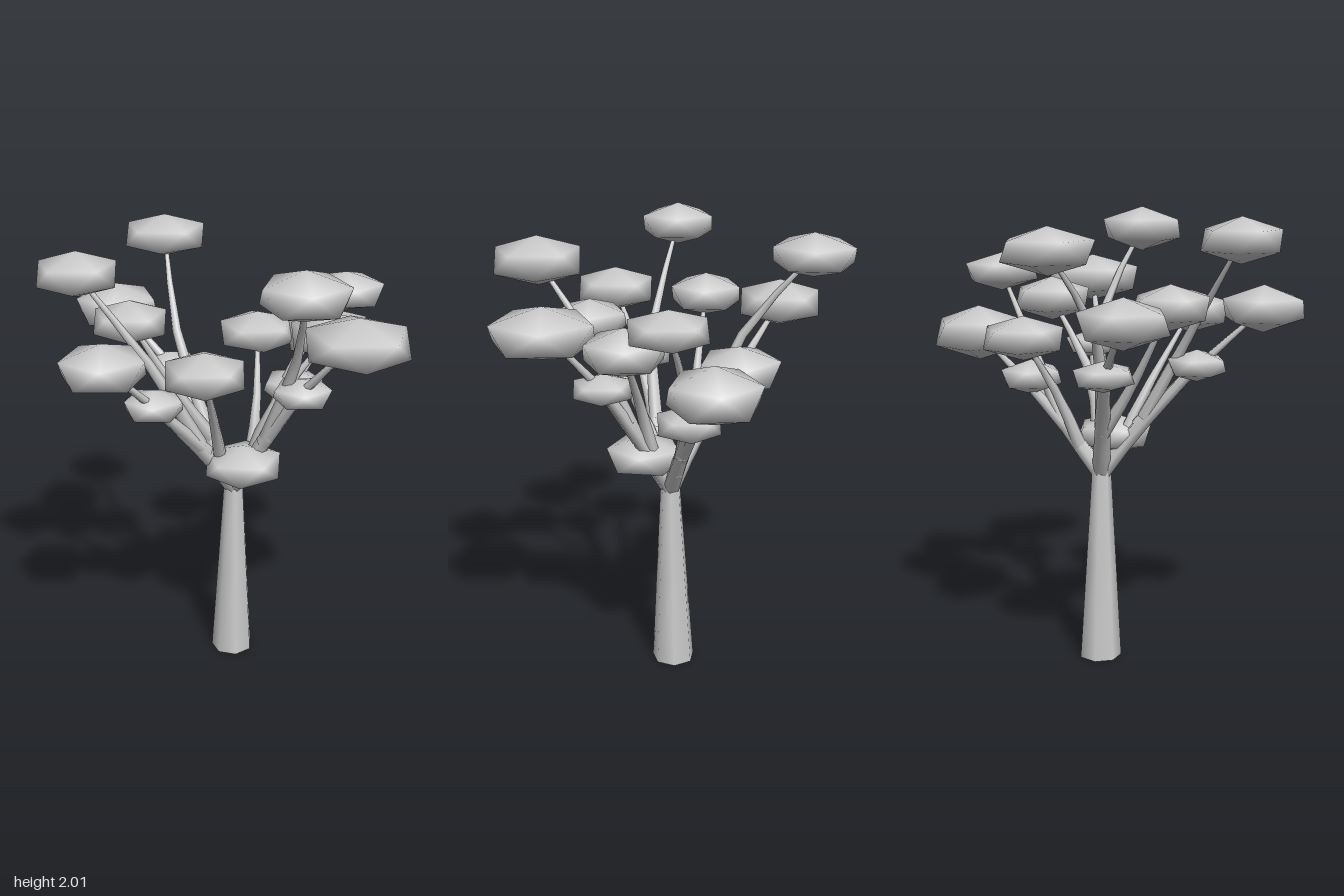
import * as THREE from 'three';
import { mergeVertices } from 'three/addons/utils/BufferGeometryUtils.js';

const V = (p) => new THREE.Vector3(p[0], p[1], p[2]);

// Six-sided tube through the points, tapering from r0 to r1
function taperedLimb(points, r0, r1) {
  const curve = new THREE.CatmullRomCurve3(points.map(V));
  const steps = 4, sides = 6;
  const geo = new THREE.TubeGeometry(curve, steps, 1, sides);
  const pos = geo.attributes.position, v = new THREE.Vector3();
  for (let i = 0; i <= steps; i++) {
    const c = curve.getPointAt(i / steps);
    const r = r0 + (r1 - r0) * (i / steps);
    for (let j = 0; j <= sides; j++) {
      const k = i * (sides + 1) + j;
      v.fromBufferAttribute(pos, k).sub(c).multiplyScalar(r).add(c);
      pos.setXYZ(k, v.x, v.y, v.z);
    }
  }
  return geo;
}

// Icosahedron standing on a vertex, with shared smooth normals and unit rings
function clumpGeometry() {
  let geo = new THREE.IcosahedronGeometry(1, 0);
  geo.rotateX(-Math.atan((1 + Math.sqrt(5)) / 2));
  geo.deleteAttribute('normal');
  geo.deleteAttribute('uv');
  geo = mergeVertices(geo, 1e-3);
  geo.scale(1 / 0.8944, 1, 1 / 0.8944);
  geo.computeVertexNormals();
  return geo;
}

export function createModel() {
  const tree = new THREE.Group();
  tree.name = 'tree';
  const grey = new THREE.MeshStandardMaterial({ color: 0xcccccc });
  grey.name = 'plain grey';
  const add = (geo, name) => {
    const mesh = new THREE.Mesh(geo, grey);
    mesh.name = name;
    tree.add(mesh);
    return mesh;
  };

  // Trunk, leaning slightly from its base to the fork
  const fork = [-0.02, 0.86, -0.07];
  const trunk = new THREE.CylinderGeometry(0.045, 0.097, 0.87, 7, 2);
  trunk.translate(0, 0.435, 0);
  const tp = trunk.attributes.position;
  for (let i = 0; i < tp.count; i++) {
    const t = tp.getY(i) / 0.87;
    tp.setX(i, tp.getX(i) - 0.035 + 0.015 * t);
    tp.setZ(i, tp.getZ(i) - 0.077 + 0.007 * t);
  }
  add(trunk, 'trunk');

  // Leaf clumps: centre, radius, half height
  const clumps = {
    low: [0.08, 1.02, -0.015, 0.168, 0.09],
    leftInner: [-0.385, 1.36, -0.05, 0.127, 0.066],
    leftHigh: [-0.605, 1.885, -0.26, 0.183, 0.095],
    leftOuter: [-0.635, 1.61, 0.03, 0.183, 0.104],
    leftFront: [-0.36, 1.64, 0.22, 0.16, 0.095],
    frontInner: [-0.105, 1.36, 0.345, 0.127, 0.07],
    frontHigh: [-0.37, 1.91, 0.5, 0.166, 0.095],
    frontOuter: [-0.105, 1.605, 0.625, 0.178, 0.102],
    frontRight: [0.17, 1.56, 0.33, 0.166, 0.095],
    rightInner: [0.325, 1.39, -0.11, 0.127, 0.066],
    rightOuter: [0.59, 1.67, -0.12, 0.217, 0.108],
    rightHigh: [0.5, 1.905, 0.115, 0.183, 0.102],
    rightBack: [0.32, 1.6, -0.3, 0.17, 0.1],
    backInner: [0.065, 1.28, -0.38, 0.135, 0.078],
    backOuter: [0.085, 1.475, -0.61, 0.195, 0.12],
    backRight: [0.24, 1.73, -0.52, 0.162, 0.085],
    backLeft: [-0.16, 1.485, -0.395, 0.172, 0.095],
  };
  const leaf = clumpGeometry();
  Object.entries(clumps).forEach(([name, [x, y, z, r, h]], i) => {
    const mesh = add(leaf, name + 'LeafClump');
    mesh.position.set(x, y, z);
    mesh.scale.set(r, h, r);
    mesh.rotation.y = i * 1.9;
  });

  // Main limbs from the fork to the inner clumps
  const limbs = {
    low: [[0.03, 0.93, -0.05]],
    leftInner: [[-0.17, 1.1, -0.06]],
    frontInner: [[-0.035, 1.03, 0.06]],
    rightInner: [[0.12, 1.09, -0.08]],
    backInner: [[0.01, 1.03, -0.2]],
  };
  for (const [name, mid] of Object.entries(limbs)) {
    const end = clumps[name].slice(0, 3);
    add(taperedLimb([fork, ...mid, end], 0.042, 0.022), name + 'Limb');
  }

  // Thinner branches leaving the limbs for the outer clumps
  const branches = {
    leftHigh: [[-0.17, 1.1, -0.06], [-0.37, 1.52, -0.08]],
    leftOuter: [[-0.19, 1.13, -0.06], [-0.4, 1.38, -0.04]],
    leftFront: [[-0.15, 1.07, -0.06], [-0.22, 1.28, 0.06]],
    frontHigh: [[-0.05, 1.12, 0.12], [-0.13, 1.48, 0.3]],
    frontOuter: [[-0.04, 1.08, 0.09], [-0.09, 1.38, 0.38]],
    frontRight: [[-0.02, 0.95, 0], [0.03, 1.17, 0.1]],
    rightOuter: [[0.14, 1.12, -0.08], [0.36, 1.43, -0.09]],
    rightHigh: [[0.16, 1.15, -0.08], [0.33, 1.55, -0.06]],
    rightBack: [[0.06, 0.99, -0.08], [0.15, 1.27, -0.12]],
    backOuter: [[0.015, 1.06, -0.22], [0.05, 1.28, -0.42]],
    backRight: [[0.02, 1.08, -0.24], [0.07, 1.38, -0.36]],
    backLeft: [[0, 0.97, -0.16], [-0.04, 1.2, -0.25]],
  };
  for (const [name, path] of Object.entries(branches)) {
    const end = clumps[name].slice(0, 3);
    add(taperedLimb([...path, end], 0.034, 0.008), name + 'Branch');
  }
  return tree;
}
